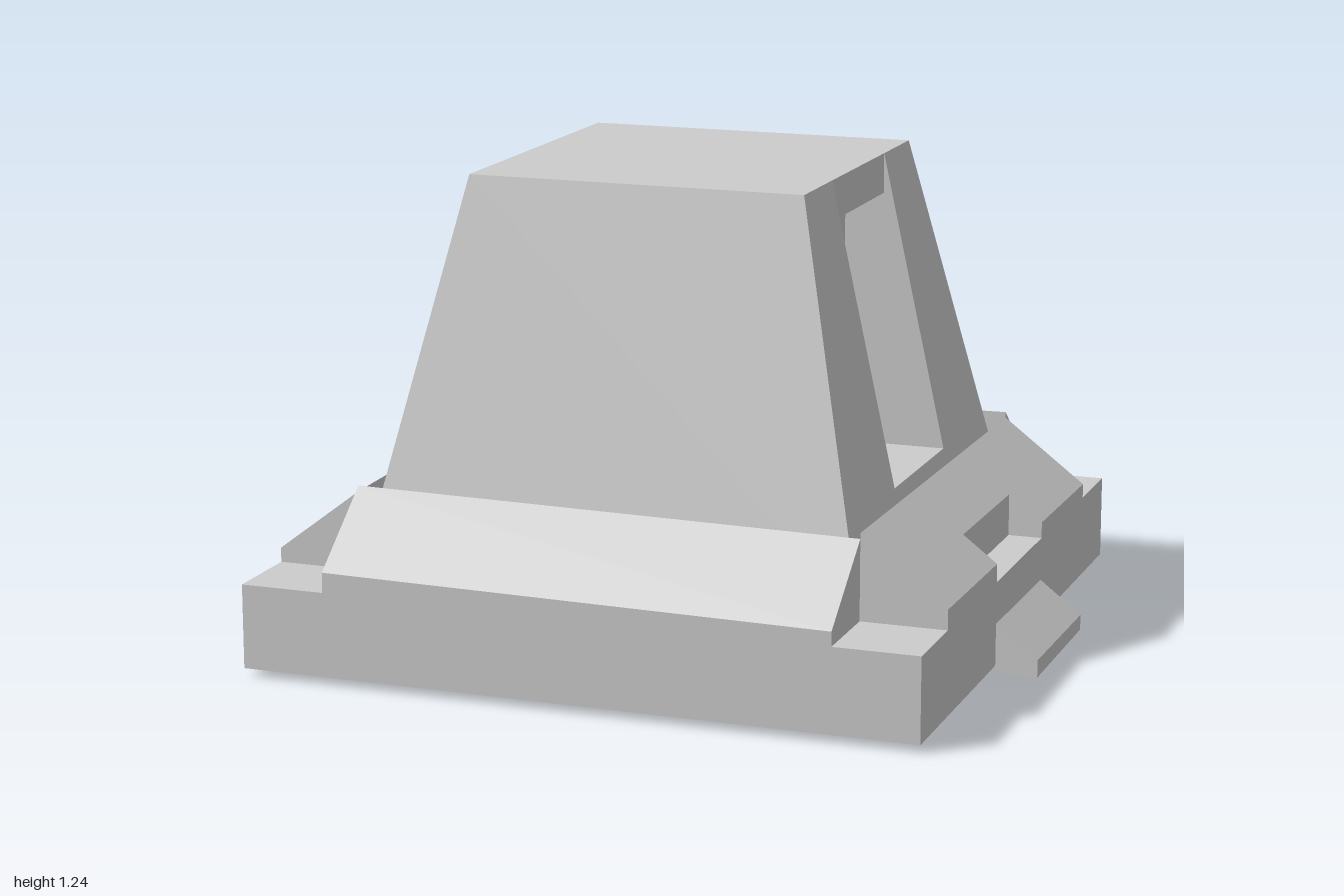
import * as THREE from 'three';

const BASE = 0.89, DECK = 0.24, INNER = 0.667, SLOT = 0.222, TOP = 1.24, SILL = 0.46;
const TILT = 0.0112; // each skirt drops slightly along its length

const material = new THREE.MeshStandardMaterial({ color: 0xcccccc, flatShading: true });

function addMesh(parent, name, geometry) {
  const mesh = new THREE.Mesh(geometry, material);
  mesh.name = name;
  parent.add(mesh);
  return mesh;
}

function addBox(parent, name, w, d, y0, y1) {
  addMesh(parent, name, new THREE.BoxGeometry(w, y1 - y0, d)).position.y = (y0 + y1) / 2;
}

// Solid between two four-cornered rings; rings run inner bottom, inner top, outer top, outer bottom
function bridge(a, b) {
  const out = [];
  const quad = (p, q, r, s) => out.push(...p, ...q, ...r, ...p, ...r, ...s);
  quad(...b);
  quad(a[3], a[2], a[1], a[0]);
  for (let i = 0; i < 4; i++) {
    const j = (i + 1) % 4;
    quad(a[i], a[j], b[j], b[i]);
  }
  const geometry = new THREE.BufferGeometry();
  geometry.setAttribute('position', new THREE.Float32BufferAttribute(out, 3));
  geometry.computeVertexNormals();
  return geometry;
}

// Piece of the tapered tower, from a [z, y] section
function towerPiece(section) {
  const half = (y) => INNER - 0.222 * (y - DECK);
  const ring = (sign) => section.map(([z, y]) => [sign * half(y), y, z]);
  return bridge(ring(-1), ring(1));
}

// Sloped bar along x on the +z side, between radii r0 and r1
function slopedBar(x0, x1, r0, r1, bottom, y0, y1) {
  const ring = (x) => [
    [x, bottom, r0], [x, y0 - TILT * x, r0], [x, y1 - TILT * x, r1], [x, bottom, r1],
  ];
  return bridge(ring(x0), ring(x1));
}

export function createModel() {
  const model = new THREE.Group();
  model.name = 'towerOnBase';

  addBox(model, 'baseSlab', 2 * BASE, 2 * BASE, 0.02, DECK);

  // Tower: two piers, the sill between them and the stepped roof
  const tower = new THREE.Group();
  tower.name = 'tower';
  model.add(tower);
  const pier = [[SLOT, DECK], [SLOT, TOP], [0.445, TOP], [INNER, DECK]];
  addMesh(tower, 'frontPier', towerPiece(pier));
  addMesh(tower, 'backPier', towerPiece(pier)).rotation.y = Math.PI;
  addMesh(tower, 'passageSill', towerPiece([[-SLOT, DECK], [-SLOT, SILL], [SLOT, SILL], [SLOT, DECK]]));
  addBox(tower, 'lintel', 0.68, 2 * SLOT, 0.91, 1.135);
  addBox(tower, 'roofSlab', 0.89, 2 * SLOT, 1.135, TOP);

  // Skirts on all four sides; the left and right ones have a notch and a latch tab
  const HIGH = 0.455, LOW = 0.285;
  ['front', 'left', 'back', 'right'].forEach((side, k) => {
    const group = new THREE.Group();
    group.name = side + 'Skirt';
    group.rotation.y = k * Math.PI / 2;
    model.add(group);
    if (k % 2 === 0) {
      addMesh(group, 'ramp', slopedBar(-INNER, INNER, INNER, BASE, DECK, HIGH, LOW));
      return;
    }
    addMesh(group, 'rampEnd', slopedBar(-INNER, -SLOT, INNER, BASE, DECK, HIGH, LOW));
    addMesh(group, 'rampEnd', slopedBar(SLOT, INNER, INNER, BASE, DECK, HIGH, LOW));
    const cut = k === 1 ? 0.8 : 0.78;
    const cutY = HIGH + (LOW - HIGH) * (cut - INNER) / (BASE - INNER);
    addMesh(group, 'notchedRamp', slopedBar(-SLOT, SLOT, INNER, cut, DECK, HIGH, cutY));
    const lift = k === 1 ? 0 : 0.017;
    addMesh(group, 'latchTab', slopedBar(-SLOT, SLOT, BASE, 1, lift, 0.128 + lift, 0.043 + lift));
  });

  return model;
}
